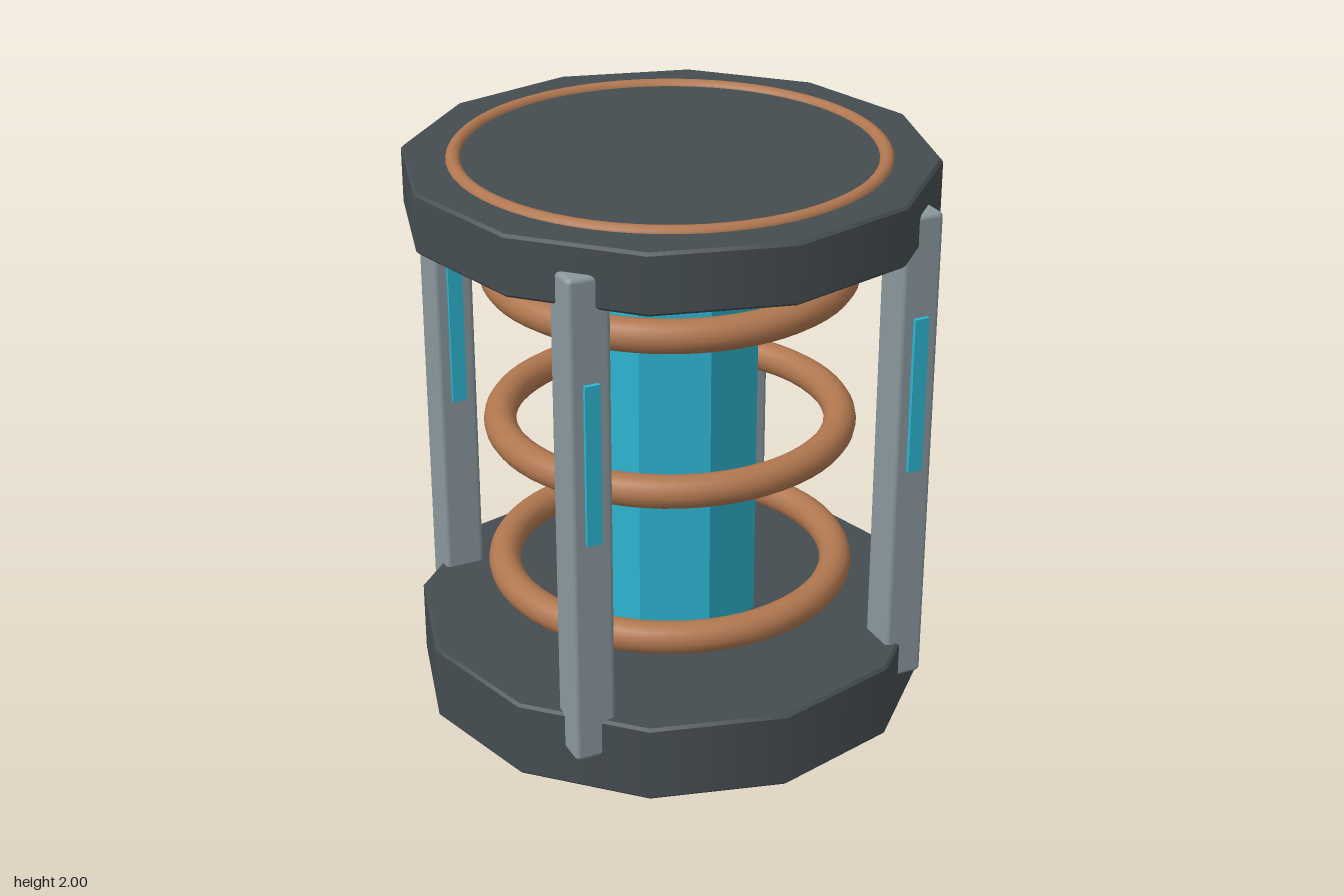
import * as THREE from 'three';
import { RoundedBoxGeometry } from 'three/addons/geometries/RoundedBoxGeometry.js';

const paint = (name, color, extra = {}) => {
  const m = new THREE.MeshStandardMaterial({ color, ...extra });
  m.name = name;
  return m;
};

export function createModel() {
  const darkMetal = paint('darkMetal', 0x454d51);
  const greyMetal = paint('greyMetal', 0x8a989d);
  const copper = paint('copper', 0xb0774f);
  const cyan = paint('cyan', 0x2db4d0);
  const cyanCore = cyan;

  const model = new THREE.Group();
  model.name = 'energyCell';
  const add = (name, geometry, material, x, y, z) => {
    const mesh = new THREE.Mesh(geometry, material);
    mesh.name = name;
    mesh.position.set(x, y, z);
    model.add(mesh);
    return mesh;
  };

  // Twelve-sided end caps with a slim chamfer at each rim
  const cap = (name, bottom, top) => {
    const r = 0.91, c = 0.01, h = top - bottom;
    add(name, new THREE.CylinderGeometry(r, r, h - 2 * c, 12, 1, true), darkMetal, 0, (top + bottom) / 2, 0);
    add(name + 'UpperRim', new THREE.CylinderGeometry(r - c, r, c, 12, 1, true), darkMetal, 0, top - c / 2, 0);
    add(name + 'LowerRim', new THREE.CylinderGeometry(r, r - c, c, 12, 1, true), darkMetal, 0, bottom + c / 2, 0);
    const disc = new THREE.CircleGeometry(r - c, 12);
    add(name + 'TopFace', disc, darkMetal, 0, top, 0).rotation.x = -Math.PI / 2;
    add(name + 'BottomFace', disc, darkMetal, 0, bottom, 0).rotation.x = Math.PI / 2;
  };
  cap('base', 0, 0.28);
  cap('lid', 1.77, 1.98);

  // Glowing octagonal core, faceted
  const core = new THREE.CylinderGeometry(0.32, 0.32, 1.5, 8).toNonIndexed();
  core.computeVertexNormals();
  add('core', core, cyanCore, 0, 1.025, 0);

  // Copper coils around the core and the trim ring on the lid
  const coil = new THREE.TorusGeometry(0.597, 0.057, 16, 64).rotateX(Math.PI / 2);
  [0.45, 1.01, 1.57].forEach((y, i) => add('coil' + (i + 1), coil, copper, 0, y, 0));
  add('lidRing', new THREE.TorusGeometry(0.725, 0.026, 12, 64).rotateX(Math.PI / 2), copper, 0, 1.974, 0);

  // Four corner posts, each with a light strip on its front face
  const post = new RoundedBoxGeometry(0.147, 1.745, 0.147, 2, 0.018);
  const strip = new THREE.BoxGeometry(0.053, 0.565, 0.02);
  for (const [side, x] of [['left', 0.595], ['right', -0.595]]) {
    for (const [end, z] of [['Front', 0.595], ['Back', -0.595]]) {
      add(side + end + 'Post', post, greyMetal, x, 1.0125, z);
      add(side + end + 'LightStrip', strip, cyan, x, 1.2425, z + 0.0785);
    }
  }
  return model;
}
